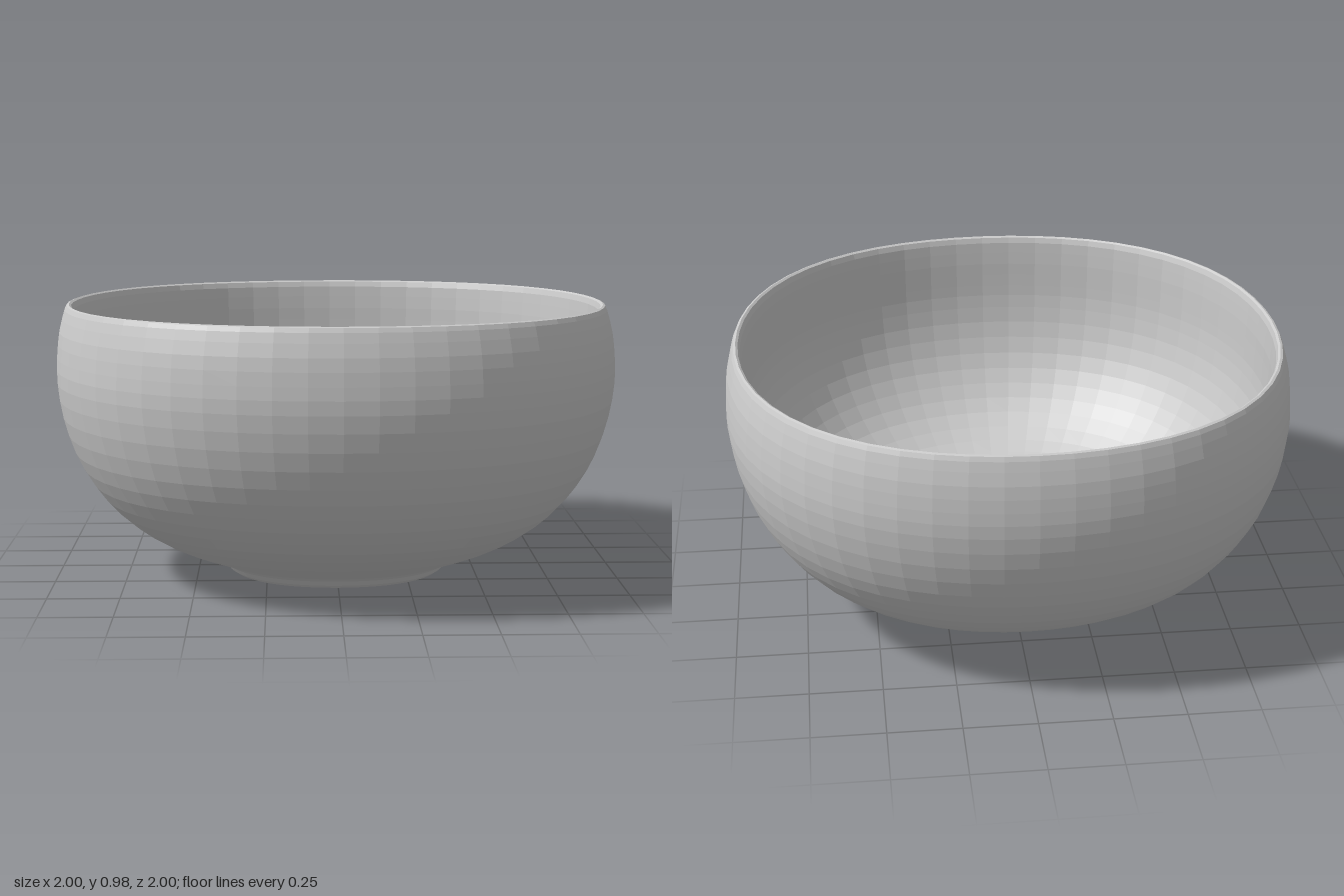
import * as THREE from 'three';

const clay = new THREE.MeshStandardMaterial({ color: 0xcacaca, flatShading: true });
clay.name = 'grey clay';

const SEGMENTS = 56;
const BULGE = 0.031; // how far the hand-shaped outline swells on the diagonals
const toPoints = (list) => list.map(([r, y]) => new THREE.Vector2(r, y));
const smooth = (list, n) => new THREE.SplineCurve(toPoints(list)).getPoints(n);

// Turn a profile, then swell it slightly towards a rounded square
function turned(name, points) {
  const geometry = new THREE.LatheGeometry(points, SEGMENTS);
  const pos = geometry.attributes.position;
  for (let i = 0; i < pos.count; i++) {
    const x = pos.getX(i), z = pos.getZ(i);
    const swell = 1 + BULGE * Math.sin(2 * Math.atan2(z, x)) ** 2;
    pos.setXYZ(i, x * swell, pos.getY(i), z * swell);
  }
  geometry.computeVertexNormals();
  const mesh = new THREE.Mesh(geometry, clay);
  mesh.name = name;
  return mesh;
}

export function createModel() {
  const group = new THREE.Group();
  group.name = 'bowl';

  // Recessed underside and low foot ring
  group.add(turned('footRing', toPoints([
    [0, 0.03], [0.305, 0.03], [0.32, 0.022], [0.335, 0.004], [0.35, 0],
    [0.38, 0.003], [0.396, 0.014], [0.41, 0.032], [0.43, 0.045],
  ])));

  // Rounded outer wall
  group.add(turned('outerWall', smooth([
    [0.43, 0.045], [0.5, 0.072], [0.6, 0.112], [0.7, 0.167], [0.8, 0.247],
    [0.88, 0.345], [0.94, 0.455], [0.98, 0.58], [0.998, 0.7], [0.997, 0.79],
    [0.987, 0.88], [0.967, 0.957],
  ], 22)));

  // Narrow lip joining both walls
  group.add(turned('rim', toPoints([
    [0.967, 0.957], [0.96, 0.972], [0.952, 0.975], [0.944, 0.97], [0.938, 0.95],
  ])));

  // Hollow interior, an even thickness inside the outer wall
  group.add(turned('innerWall', smooth([
    [0.938, 0.95], [0.933, 0.87], [0.931, 0.785], [0.927, 0.705], [0.911, 0.596],
    [0.876, 0.483], [0.822, 0.384], [0.752, 0.297], [0.66, 0.224], [0.568, 0.175],
    [0.47, 0.14], [0.32, 0.112], [0.16, 0.1], [0, 0.098],
  ], 24)));

  return group;
}
